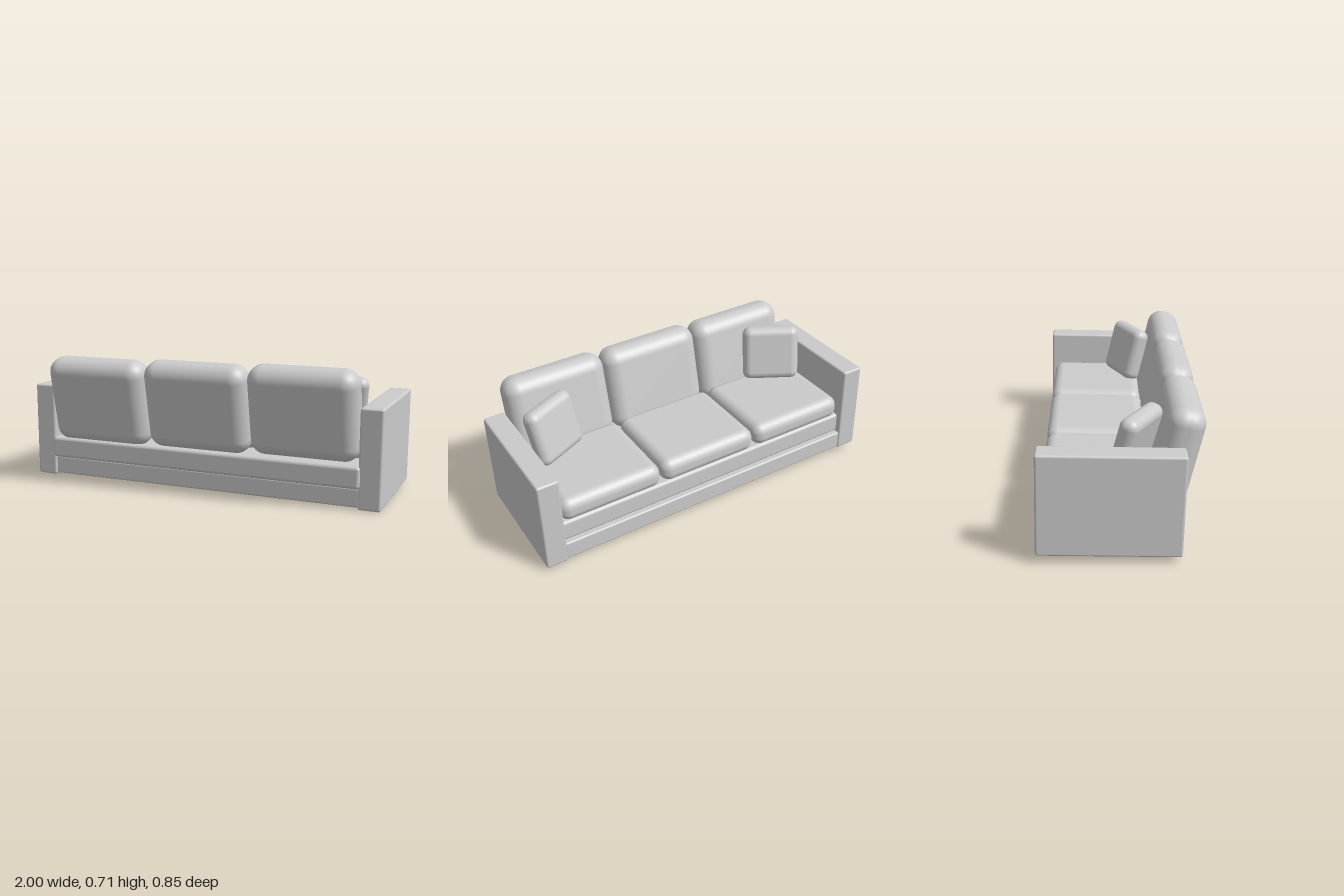
import * as THREE from 'three';
import { RoundedBoxGeometry } from 'three/addons/geometries/RoundedBoxGeometry.js';

export function createModel() {
  const material = new THREE.MeshStandardMaterial({ color: 0xcccccc });
  const sofa = new THREE.Group();
  sofa.name = 'sofa';

  // Adds a rounded box: size [w, h, d], centre [x, y, z], rotation [rx, ry, rz]
  function addBox(name, size, radius, position, rotation = [0, 0, 0], segments = 5) {
    const mesh = new THREE.Mesh(new RoundedBoxGeometry(...size, segments, radius), material);
    mesh.name = name;
    mesh.position.set(...position);
    mesh.rotation.set(...rotation, 'YXZ');
    sofa.add(mesh);
    return mesh;
  }

  // Base plinth and the seat frame above it, set slightly toward +z
  addBox('base', [1.75, 0.1, 0.675], 0.01, [0, -0.2, -0.003], undefined, 3);
  addBox('seatFrame', [1.76, 0.115, 0.675], 0.018, [0, -0.094, 0.022], undefined, 3);

  // Arms
  for (const side of [-1, 1]) {
    addBox(side > 0 ? 'leftArm' : 'rightArm', [0.118, 0.515, 0.692], 0.012, [side * 0.928, 0, 0], undefined, 3);
  }

  // Three seat cushions and three leaning back cushions
  for (const i of [-1, 0, 1]) {
    addBox('seatCushion', [0.572, 0.13, 0.52], 0.055, [i * 0.58, 0.02, -0.065], undefined, 7);
    addBox('backCushion', [0.575, 0.476, 0.182], 0.08, [i * 0.578, 0.198 + i * 0.01, 0.314 - i * 0.003], [0.205, 0, 0], 8);
  }

  // Loose pillows turned into the two corners
  addBox('leftPillow', [0.32, 0.31, 0.1], 0.045, [0.69, 0.22, 0.12], [0.25, 0.45, 0], 6);
  addBox('rightPillow', [0.32, 0.31, 0.1], 0.045, [-0.7, 0.22, 0.12], [0.25, -0.52, 0], 6);

  // The whole piece stands slightly askew
  sofa.position.set(-0.003, 0.279, -0.036);
  sofa.rotation.set(0.025, -0.034, -0.014);

  const model = new THREE.Group();
  model.name = 'model';
  model.add(sofa);
  return model;
}
